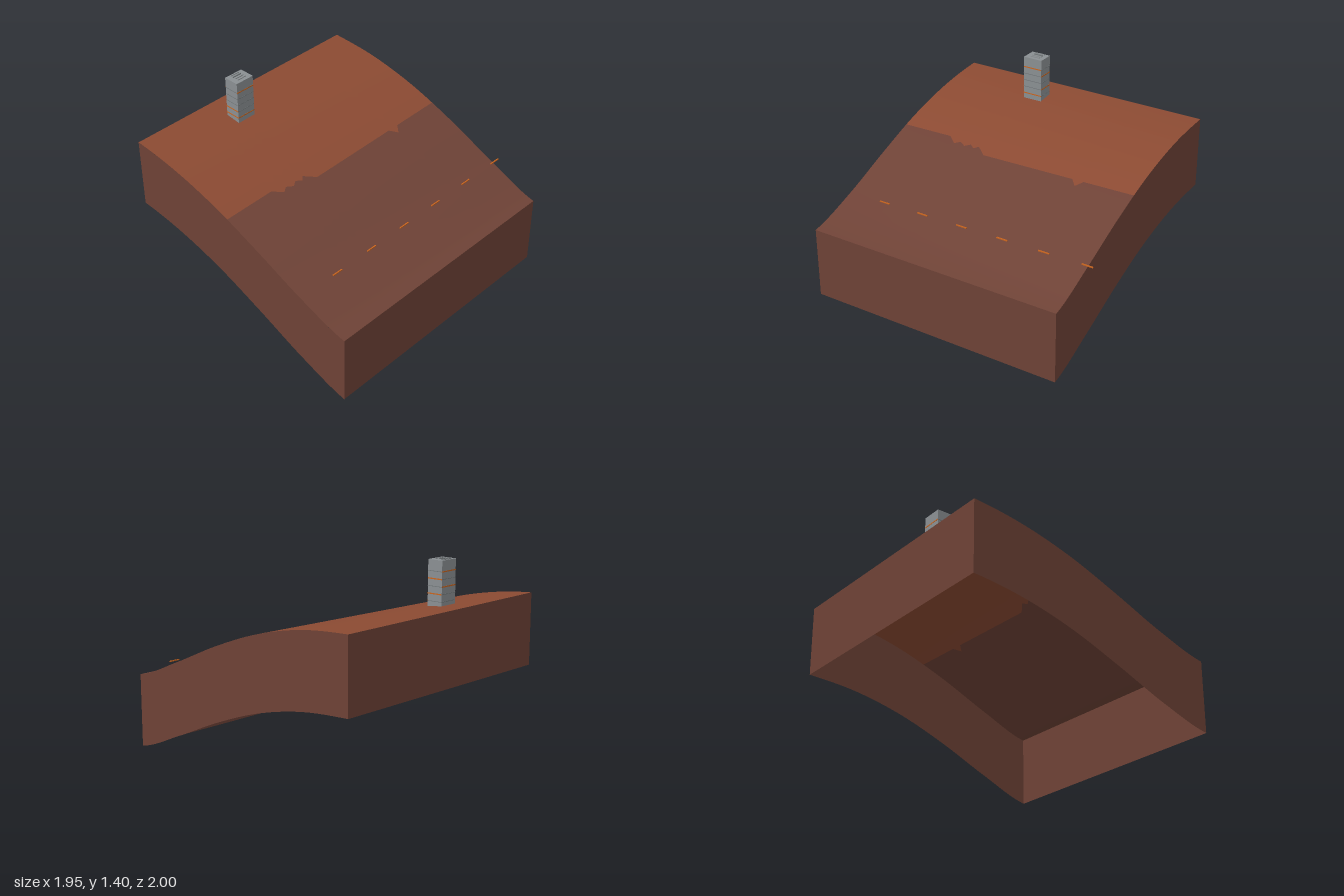
import * as THREE from 'three';

const X = 0.975, Z0 = -0.955, Z1 = 1, DEPTH = 0.525;

// slope heights along x at the front and back edges
const curve = (pts) => new THREE.SplineCurve(pts.map(([x, y]) => new THREE.Vector2(x, y)));
const sx = [-0.975, -0.585, -0.195, 0.195, 0.585, 0.975];
const front = curve([1.1, 1.052, 0.953, 0.807, 0.647, 0.527].map((y, i) => [sx[i], y]));
const back = curve([1.11, 1.082, 0.998, 0.86, 0.69, 0.541].map((y, i) => [sx[i], y]));

function height(x, z) {
  const t = THREE.MathUtils.clamp((x + X) / (2 * X), 0, 1);
  return THREE.MathUtils.lerp(back.getPoint(t).y, front.getPoint(t).y, (z - Z0) / (Z1 - Z0));
}

// ragged border between the two ground colours, as [z, x]
const border = [[Z0, 0], [-0.57, 0], [-0.55, 0.025], [-0.53, 0.05], [-0.48, 0], [-0.2, 0], [0.05, 0],
  [0.25, 0], [0.33, -0.06], [0.36, -0.035], [0.4, -0.06], [0.44, -0.035], [0.49, -0.06],
  [0.53, -0.035], [0.6, -0.088], [0.8, -0.088], [Z1, -0.088]];

// surface from a grid of points, rows by columns
function gridGeometry(rows, cols, point) {
  const pos = [], idx = [];
  for (let r = 0; r <= rows; r++) for (let c = 0; c <= cols; c++) pos.push(...point(r, c));
  for (let r = 0; r < rows; r++) for (let c = 0; c < cols; c++) {
    const a = r * (cols + 1) + c, b = a + cols + 1;
    idx.push(a, b, a + 1, b, b + 1, a + 1);
  }
  const g = new THREE.BufferGeometry();
  g.setAttribute('position', new THREE.Float32BufferAttribute(pos, 3));
  g.setIndex(idx);
  g.computeVertexNormals();
  return g;
}

export function createModel() {
  const material = (name, color, side = THREE.FrontSide) => {
    const m = new THREE.MeshStandardMaterial({ color, side });
    m.name = name;
    return m;
  };
  const rust = material('rust soil', 0x8b4a32, THREE.DoubleSide);
  const brown = material('brown soil', 0x6e4236, THREE.DoubleSide);
  const grey = material('tower grey', 0x8a8f92);
  const darkGrey = material('joint grey', 0x6f7577);
  const orange = material('signal orange', 0xc8641e);

  const model = new THREE.Group();
  const add = (parent, name, geometry, mat) => {
    const mesh = new THREE.Mesh(geometry, mat);
    mesh.name = name;
    parent.add(mesh);
    return mesh;
  };
  const box = (parent, name, mat, size, at) => {
    const mesh = add(parent, name, new THREE.BoxGeometry(...size), mat);
    mesh.position.set(...at);
    return mesh;
  };

  // upper and lower ground, meeting at the border
  const ground = (name, mat, from, to) => add(model, name, gridGeometry(border.length - 1, 20, (r, c) => {
    const [z, b] = border[r];
    const x = THREE.MathUtils.lerp(from(b), to(b), c / 20);
    return [x, height(x, z), z];
  }), mat);
  ground('upperGround', rust, () => -X, (b) => b);
  ground('lowerGround', brown, (b) => b, () => X);

  // four skirt walls, open underneath
  const wall = (name, xa, za, xb, zb) => add(model, name, gridGeometry(1, 40, (r, c) => {
    const x = THREE.MathUtils.lerp(xa, xb, c / 40), z = THREE.MathUtils.lerp(za, zb, c / 40);
    return [x, height(x, z) - r * DEPTH, z];
  }), brown);
  wall('frontWall', -X, Z1, X, Z1);
  wall('leftWall', X, Z1, X, Z0);
  wall('backWall', X, Z0, -X, Z0);
  wall('rightWall', -X, Z0, -X, Z1);

  // tower with floor joints and a few lit bands
  const tower = new THREE.Group();
  tower.name = 'tower';
  tower.position.set(-0.735, 0, 0.27);
  model.add(tower);
  const w = 0.118, d = 0.15;
  box(tower, 'towerBody', grey, [w, 0.325, d], [0, 1.2375, 0]);
  const lit = { front: [0, 1], left: [0, 4], back: [1, 3], right: [2, 4] };
  for (let i = 0; i < 5; i++) {
    const y = 1.118 + i * 0.0515;
    for (const [side, floors] of Object.entries(lit)) {
      const on = floors.includes(i);
      const t = on ? 0.008 : 0.004;
      const alongX = side === 'front' || side === 'back';
      const s = side === 'front' || side === 'left' ? 1 : -1;
      box(tower, on ? 'litBand' : 'floorJoint', on ? orange : darkGrey,
        alongX ? [w, t, 0.003] : [0.003, t, d],
        alongX ? [0, y, s * d / 2] : [s * w / 2, y, 0]);
    }
  }
  // roof vents
  for (let i = 0; i < 4; i++) {
    box(tower, 'roofVent', i === 1 ? darkGrey : grey, [0.008, 0.008, 0.075], [-0.045 + i * 0.024, 1.402, 0]);
  }

  // row of marker bars along the lower slope
  for (let i = 0; i < 6; i++) {
    const z = 0.675 - i * 0.3266;
    box(model, 'markerBar', orange, [0.009, 0.007, 0.084], [0.603, 0.67 + i * 0.006, z]);
  }
  return model;
}
